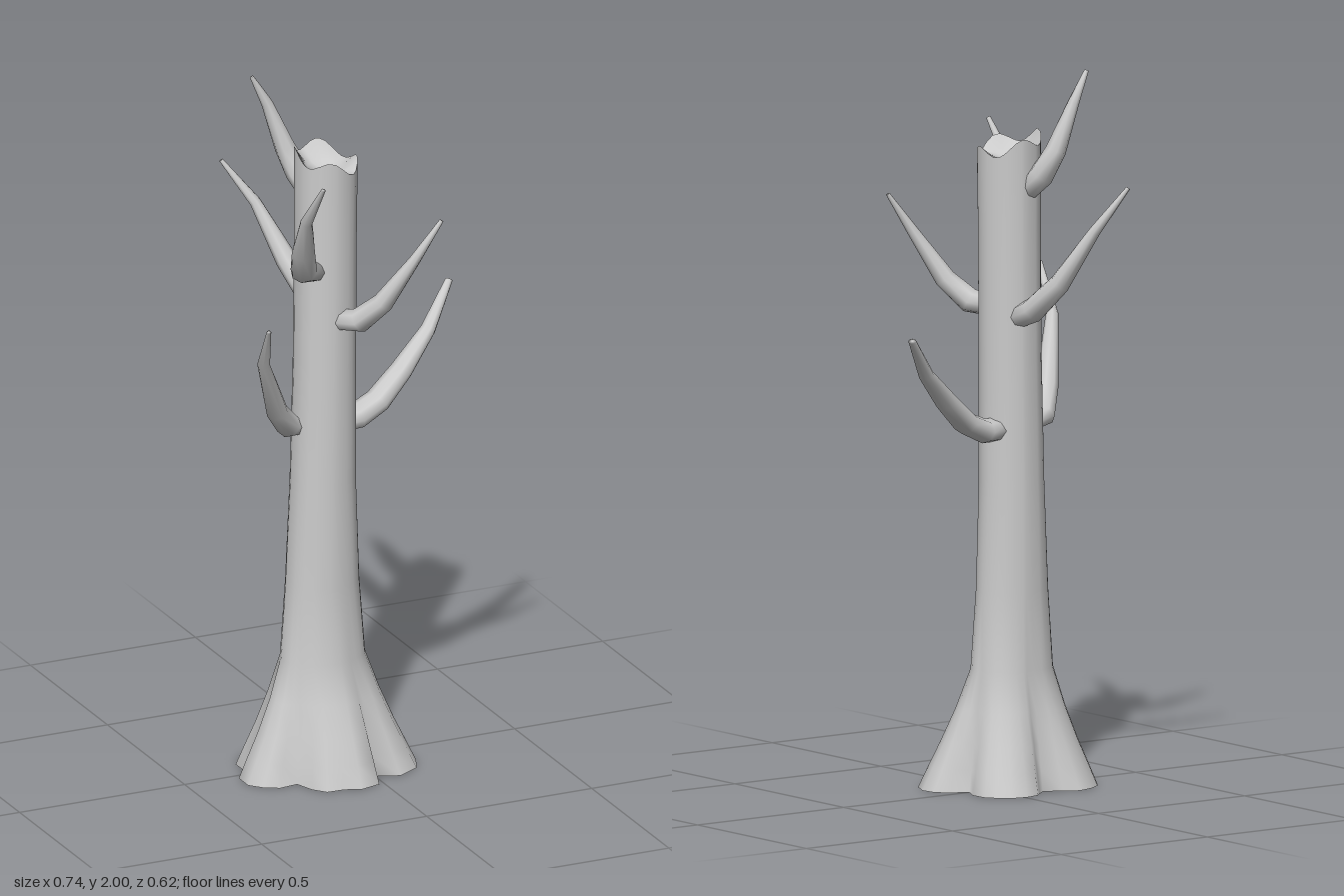
import * as THREE from 'three';

// Skin a list of closed rings (arrays of Vector3), counter-clockwise about the growth direction.
function loft(rings) {
  const n = rings[0].length, pos = [], idx = [];
  rings.forEach(ring => ring.forEach(p => pos.push(p.x, p.y, p.z)));
  for (let j = 0; j < rings.length - 1; j++) {
    for (let i = 0; i < n; i++) {
      const a = j * n + i, b = j * n + (i + 1) % n;
      idx.push(a, b, a + n, b, b + n, a + n);
    }
  }
  const g = new THREE.BufferGeometry();
  g.setAttribute('position', new THREE.Float32BufferAttribute(pos, 3));
  g.setIndex(idx);
  g.computeVertexNormals();
  return g;
}

// Tapering branch through the given points, with flattened round sections.
function branchGeometry(points, radii, flat) {
  const pts = points.map(p => new THREE.Vector3(...p));
  const up = new THREE.Vector3(0, 1, 0);
  const ring = (k, scale) => {
    const t = pts[Math.min(k + 1, pts.length - 1)].clone().sub(pts[Math.max(k - 1, 0)]).normalize();
    const side = up.clone().cross(t).normalize();
    const nrm = t.clone().cross(side);
    return Array.from({ length: 8 }, (_, i) => {
      const a = i / 8 * Math.PI * 2, r = radii[k] * scale;
      return pts[k].clone().addScaledVector(side, Math.cos(a) * r * flat).addScaledVector(nrm, Math.sin(a) * r);
    });
  };
  const last = pts.length - 1;
  return loft([ring(0, 0), ...pts.map((_, k) => ring(k, 1)), ring(last, 0)]);
}

// Ground outline of the five root lobes (x, z)
const rootOutline = [
  [0.07, 0.0], [0.095, -0.05], [0.092, -0.1], [0.07, -0.13], [0.04, -0.155], [-0.005, -0.165], [-0.05, -0.155], [-0.07, -0.135],
  [-0.1, -0.11], [-0.15, -0.135], [-0.19, -0.16], [-0.24, -0.145], [-0.28, -0.12], [-0.308, -0.08], [-0.308, -0.01],
  [-0.345, 0.02], [-0.345, 0.08], [-0.315, 0.115], [-0.275, 0.137], [-0.22, 0.13],
  [-0.2, 0.185], [-0.17, 0.22], [-0.12, 0.222], [-0.075, 0.24], [-0.015, 0.225], [0.0, 0.165],
  [0.065, 0.19], [0.13, 0.155], [0.155, 0.1], [0.15, 0.055], [0.12, 0.022],
];

// Trunk sections: height, centre x, centre z, radius x, radius z, share of the root outline
const sections = [
  [0, -0.095, 0.03, 0.12, 0.1, 1],
  [0.06, -0.095, 0.03, 0.12, 0.1, 0.8],
  [0.13, -0.095, 0.03, 0.12, 0.1, 0.56],
  [0.22, -0.095, 0.027, 0.118, 0.093, 0.3],
  [0.33, -0.095, 0.025, 0.113, 0.088, 0.06],
  [0.55, -0.095, 0.025, 0.105, 0.088, 0],
  [0.85, -0.093, 0.025, 0.092, 0.087, 0],
  [1.2, -0.088, 0.025, 0.087, 0.087, 0],
  [1.55, -0.085, 0.024, 0.086, 0.088, 0],
  [1.77, -0.083, 0.023, 0.087, 0.091, 0],
];

// Broken rim: uneven height around the top
const rimLift = a => 0.018 + 0.02 * Math.cos(a - 3.6) + 0.017 * Math.sin(4 * a + 0.6);

export function createModel() {
  const tree = new THREE.Group();
  tree.name = 'deadTree';
  const bark = new THREE.MeshStandardMaterial({ color: 0xcccccc, side: THREE.DoubleSide });
  const add = (name, geometry) => {
    const mesh = new THREE.Mesh(geometry, bark);
    mesh.name = name;
    tree.add(mesh);
  };

  // Trunk flaring into roots, open underneath
  const rings = sections.map(([y, cx, cz, rx, rz, blend], j) => rootOutline.map(([x, z]) => {
    const a = Math.atan2(z - 0.03, x + 0.095);
    const lift = j === sections.length - 1 ? rimLift(a) : 0;
    return new THREE.Vector3(
      THREE.MathUtils.lerp(cx + Math.cos(a) * rx, x, blend), y + lift,
      THREE.MathUtils.lerp(cz + Math.sin(a) * rz, z, blend));
  }));
  add('trunk', loft(rings));

  // Hollowed break at the top
  const rim = rings[rings.length - 1];
  const centre = new THREE.Vector3(-0.083, 1.74, 0.023);
  add('brokenTop', loft([rim, rim.map(p => {
    const q = p.clone().lerp(centre, 0.4);
    q.y = 1.755;
    return q;
  }), rim.map(() => centre)]));

  // Branches, lowest to highest
  const thin = [0.03, 0.035, 0.029, 0.016, 0.006];
  add('lowerLeftBranch', branchGeometry(
    [[-0.06, 1.0, 0.01], [0.02, 1.0, 0.0], [0.09, 1.03, -0.012], [0.17, 1.1, -0.03], [0.27, 1.19, -0.07], [0.362, 1.3, -0.13]],
    [0.034, 0.034, 0.032, 0.027, 0.018, 0.009], 1.3));
  const branches = {
    lowerRightBranch: [[-0.14, 1.01, 0.01], [-0.2, 1.02, 0.03], [-0.26, 1.09, 0.085], [-0.34, 1.27, 0.17], [-0.365, 1.4, 0.258]],
    frontBranch: [[-0.07, 1.33, 0.09], [-0.035, 1.34, 0.14], [0.015, 1.4, 0.185], [0.085, 1.53, 0.238], [0.162, 1.64, 0.25]],
    backBranch: [[-0.07, 1.31, -0.03], [-0.075, 1.34, -0.1], [-0.11, 1.42, -0.175], [-0.165, 1.57, -0.26], [-0.247, 1.69, -0.305]],
    upperRightBranch: [[-0.14, 1.48, 0.075], [-0.185, 1.495, 0.1], [-0.21, 1.57, 0.15], [-0.236, 1.69, 0.225], [-0.221, 1.81, 0.303]],
    topBranch: [[-0.1, 1.66, -0.035], [-0.115, 1.71, -0.085], [-0.145, 1.78, -0.11], [-0.19, 1.91, -0.13], [-0.237, 1.995, -0.127]],
  };
  for (const [name, points] of Object.entries(branches)) add(name, branchGeometry(points, thin, 1.1));

  return tree;
}
